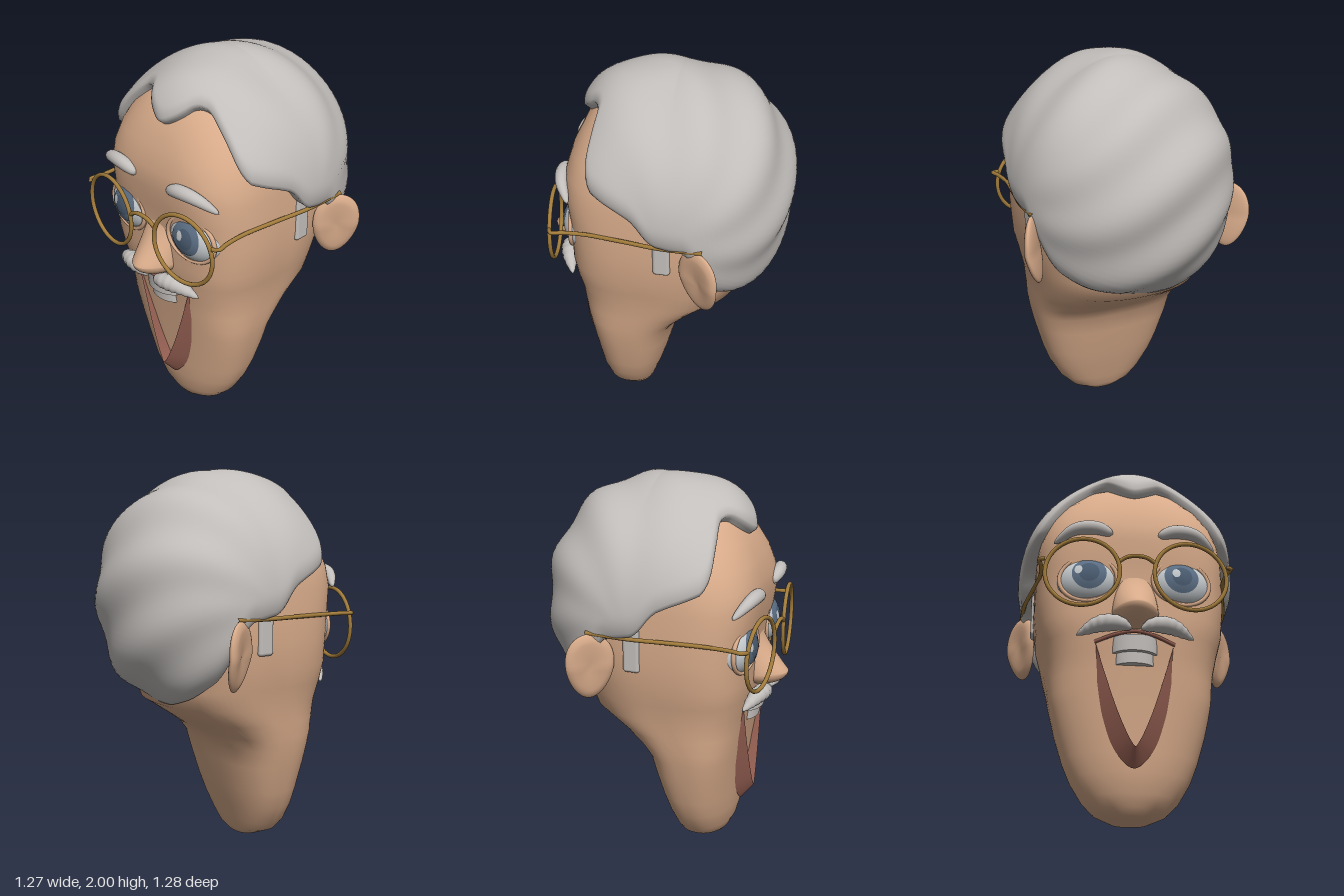
import * as THREE from 'three';
import { mergeVertices } from 'three/addons/utils/BufferGeometryUtils.js';
import { RoundedBoxGeometry } from 'three/addons/geometries/RoundedBoxGeometry.js';

const V = (x, y, z) => new THREE.Vector3(x, y, z);
const mat = (name, color, side = THREE.FrontSide) => {
  const m = new THREE.MeshStandardMaterial({ color, side });
  m.name = name;
  return m;
};
const skin = mat('skin', 0xd8ab8a);
const hairGrey = mat('hairGrey', 0xc2bebb, THREE.DoubleSide);
const lipBrown = mat('lipBrown', 0x955f52, THREE.DoubleSide);
const eyeWhite = mat('eyeWhite', 0xc6cbce);
const irisBlue = mat('irisBlue', 0x5c6f85);
const pupilBlue = mat('pupilBlue', 0x4b5d72);
const gold = mat('gold', 0xa17b3b);

function add(parent, name, geometry, material, pos) {
  const m = new THREE.Mesh(geometry, material);
  m.name = name;
  if (pos) m.position.set(...pos);
  parent.add(m);
  return m;
}

// Smooth surface from fn(u, v), with u running left to right and v upward
function grid(nu, nv, fn) {
  const pos = [], index = [];
  for (let j = 0; j <= nv; j++)
    for (let i = 0; i <= nu; i++) pos.push(...fn(i / nu, j / nv, j));
  for (let j = 0; j < nv; j++)
    for (let i = 0; i < nu; i++) {
      const a = j * (nu + 1) + i, b = a + nu + 1;
      index.push(a, a + 1, b, a + 1, b + 1, b);
    }
  let g = new THREE.BufferGeometry();
  g.setAttribute('position', new THREE.Float32BufferAttribute(pos, 3));
  g.setIndex(index);
  g = mergeVertices(g, 1e-5);
  g.computeVertexNormals();
  return g;
}

// Move every vertex of a geometry by a rule
function reshape(g, rule) {
  const p = g.attributes.position, v = V(0, 0, 0);
  for (let i = 0; i < p.count; i++) {
    rule(v.fromBufferAttribute(p, i));
    p.setXYZ(i, v.x, v.y, v.z);
  }
  g.computeVertexNormals();
  return g;
}

// Tube along points whose radius follows radius(t)
function taperedTube(points, radius, n = 28) {
  const c = new THREE.CatmullRomCurve3(points);
  const frames = c.computeFrenetFrames(n, false);
  return grid(16, n, (u, v, j) => {
    const a = u * Math.PI * 2, p = c.getPointAt(v), r = radius(v);
    p.addScaledVector(frames.normals[j], Math.cos(a) * r);
    p.addScaledVector(frames.binormals[j], Math.sin(a) * r);
    return p.toArray();
  });
}
const wire = (pts, r = 0.011) => new THREE.TubeGeometry(new THREE.CatmullRomCurve3(pts), 40, r, 8);

// Head cross-sections: height, half width, front z, back z, squareness of the front
const HEAD = [
  [0, 0.001, 0.22, 0.219, 2], [0.005, 0.1, 0.31, 0.11, 2], [0.04, 0.18, 0.335, 0.085, 2],
  [0.1, 0.24, 0.365, 0.065, 2], [0.2, 0.298, 0.39, 0.03, 2.05], [0.3, 0.337, 0.4, 0, 2.2],
  [0.45, 0.38, 0.415, -0.04, 2.5], [0.55, 0.402, 0.425, -0.065, 2.7], [0.62, 0.415, 0.433, -0.12, 2.9],
  [0.7, 0.425, 0.443, -0.24, 3.1], [0.8, 0.44, 0.455, -0.39, 3.3], [0.9, 0.46, 0.475, -0.43, 3.5],
  [1, 0.485, 0.485, -0.45, 3.6], [1.15, 0.5, 0.485, -0.5, 3.7], [1.28, 0.5, 0.495, -0.52, 3.7],
  [1.4, 0.498, 0.515, -0.53, 3.5], [1.5, 0.49, 0.505, -0.52, 3.3], [1.6, 0.468, 0.475, -0.49, 3],
  [1.7, 0.42, 0.425, -0.43, 2.7], [1.8, 0.34, 0.35, -0.34, 2.4], [1.88, 0.17, 0.2, -0.2, 2],
  [1.9, 0.001, 0.001, 0, 2],
];
const spow = (s, e) => Math.sign(s) * Math.abs(s) ** e;
const headGeometry = () => grid(80, HEAD.length - 1, (u, v, j) => {
  const [y, w, f, b, front] = HEAD[j], a = u * Math.PI * 2;
  const p = Math.cos(a) > 0 ? front : y < 0.65 ? 2.7 : 2.3;
  return [w * spow(Math.sin(a), 2 / p), y, (f + b) / 2 + (f - b) / 2 * spow(Math.cos(a), 2 / p)];
});

// Hairline: azimuth from the front and elevation, in degrees, softened at the corners
const LINE = [[0, 28], [9, 34], [21, 45], [32, 45], [43, 33], [51, 17], [70, 11], [78, 7], [84, -4],
  [104, -8], [111, -24], [117, -37], [135, -48], [155, -55], [180, -58]];
function corner(deg) {
  let k = 0;
  while (k < LINE.length - 2 && deg > LINE[k + 1][0]) k++;
  const [a, e] = LINE[k], [b, f] = LINE[k + 1];
  return THREE.MathUtils.lerp(e, f, (deg - a) / (b - a));
}
const hairline = deg => (corner(Math.abs(deg - 3)) + corner(deg) + corner(Math.min(180, deg + 3))) / 3;
function hairGeometry() {
  const rows = 44;
  return grid(160, rows, (u, v, j) => {
    const a = u * Math.PI * 2, deg = Math.min(u, 1 - u) * 360;
    const t = Math.max(0, (j - 2) / (rows - 2));
    const e = THREE.MathUtils.lerp(hairline(deg), 90, t) * Math.PI / 180;
    const d = V(Math.cos(e) * Math.sin(a), Math.sin(e), Math.cos(e) * Math.cos(a));
    // squarer towards the front than at the back
    const q = d.z > 0 ? 3 : 2.15;
    const flat = (Math.abs(d.x / 0.59) ** q + Math.abs(d.z / 0.585) ** q) ** (1 / q);
    let r = (flat ** 2.1 + Math.abs(d.y / (d.y > 0 ? 0.605 : 0.69)) ** 2.1) ** (-1 / 2.1);
    // combed waves sweeping around the back
    const back = THREE.MathUtils.smoothstep(-d.z, -0.4, 0.6);
    r += 0.016 * (0.3 + 0.7 * back) * (1 - d.x * d.x) * Math.sin(9 * Math.atan2(d.y, -d.z) + 5 * d.x);
    r *= 1 - 0.04 * (1 - Math.min(1, t / 0.12)) ** 2;
    if (j === 1) r *= 0.965;
    if (j === 0) r *= 0.84;
    const x = d.x * r, z = d.z * r;
    // raised crown running into the forelock
    const ridge = Math.exp(-((x / 0.27) ** 2));
    const lift = ridge * (0.03 * Math.max(0, d.y) + 0.1 * THREE.MathUtils.clamp(z / 0.52, 0, 1));
    return [x, 1.35 + d.y * r + lift, z - 0.05];
  });
}

// Features on one side, s = +1 for the left
function sideFeatures(s) {
  const g = new THREE.Group();
  g.name = s > 0 ? 'leftFeatures' : 'rightFeatures';
  const P = (x, y, z) => V(s * x, y, z);

  // ear: flattened, hollowed, narrowing to the lobe
  const earG = reshape(new THREE.SphereGeometry(1, 32, 24), v => {
    const rim = Math.hypot(v.y, v.z);
    if (v.x > 0) v.x -= 0.9 * Math.max(0, 1 - rim / 0.8);
    v.set(v.x * 0.034 + 0.035 * Math.min(0, v.y), v.y * 0.178, v.z * 0.122 * (1 + 0.18 * v.y));
  });
  if (s < 0) {
    reshape(earG, v => { v.x = -v.x; });
    const ix = earG.index.array;
    for (let i = 0; i < ix.length; i += 3) [ix[i], ix[i + 1]] = [ix[i + 1], ix[i]];
    earG.computeVertexNormals();
  }
  add(g, 'ear', earG, skin, [s * 0.563, 1.115, -0.24]).rotation.y = -0.58 * s;

  add(g, 'sideburn', new RoundedBoxGeometry(0.05, 0.26, 0.088, 3, 0.018), hairGrey, [s * 0.487, 1.22, -0.045]);

  // eye with thin iris, pupil and glint following the eyeball
  const eye = new THREE.Group();
  eye.name = 'eye';
  eye.position.set(s * 0.234, 1.185, 0.408);
  eye.rotation.y = s * 0.13;
  g.add(eye);
  add(eye, 'eyeball', new THREE.SphereGeometry(1, 40, 28), eyeWhite).scale.set(0.165, 0.138, 0.11);
  const patch = (name, cx, cy, rx, ry, material, off) => add(eye, name, grid(32, 5, (u, v) => {
    const a = u * Math.PI * 2, x = cx + rx * (1 - v) * Math.cos(a), y = cy + ry * (1 - v) * Math.sin(a);
    return [x, y, off + 0.11 * Math.sqrt(1 - (x / 0.165) ** 2 - (y / 0.138) ** 2)];
  }), material);
  patch('iris', -s * 0.012, 0.018, 0.088, 0.09, irisBlue, 0.003);
  patch('pupil', -s * 0.012, 0.018, 0.052, 0.055, pupilBlue, 0.005);
  patch('glint', -0.042, 0.032, 0.02, 0.026, eyeWhite, 0.007);
  const lid = add(g, 'eyelid', new THREE.TorusGeometry(0.147, 0.012, 10, 40), skin, [s * 0.237, 1.185, 0.468]);
  lid.scale.set(1, 0.83, 1);
  lid.rotation.y = s * 0.14;

  add(g, 'eyebrow', taperedTube([P(0.115, 1.43, 0.505), P(0.2, 1.46, 0.515), P(0.31, 1.455, 0.5), P(0.415, 1.395, 0.445)],
    t => 0.041 * Math.sqrt(Math.max(0, 1 - (2 * t ** 0.85 - 1) ** 2)) * (1 - 0.3 * t)), hairGrey);
  add(g, 'moustache', taperedTube([P(0.02, 0.885, 0.535), P(0.09, 0.91, 0.54), P(0.18, 0.912, 0.52), P(0.295, 0.865, 0.475)],
    t => 0.044 * Math.sin(Math.PI * t ** 0.85) ** 0.75 * (1 + 0.05 * Math.sin(t * 50))), hairGrey);

  // spectacle rim and arm
  const rim = add(g, 'spectacleRim', new THREE.TorusGeometry(0.187, 0.011, 10, 56), gold, [s * 0.273, 1.18, 0.557]);
  rim.rotation.y = s * 0.12;
  add(g, 'spectacleArm', wire([P(0.455, 1.255, 0.535), P(0.488, 1.26, 0.518), P(0.478, 1.262, 0.46),
    P(0.476, 1.265, 0.34), P(0.51, 1.275, 0.15), P(0.548, 1.285, -0.05), P(0.562, 1.297, -0.26)]), gold);
  return g;
}

export function createModel() {
  const model = new THREE.Group();
  model.name = 'head';
  add(model, 'face', headGeometry(), skin);
  add(model, 'hair', hairGeometry(), hairGrey);
  model.add(sideFeatures(1), sideFeatures(-1));

  // nose: rounded tip flaring at the nostrils, with a soft bridge sinking into the brow
  add(model, 'nose', reshape(new THREE.SphereGeometry(1, 36, 36), v => {
    const up = Math.max(0, v.y);
    v.set(v.x * 0.118 * (1 - 0.15 * up), v.y * (v.y > 0 ? 0.25 : 0.08),
      v.z * 0.16 * (1 - up) ** 1.3 * (1 - 0.25 * v.x * v.x));
  }), skin, [0, 0.995, 0.477]);

  add(model, 'spectacleBridge', wire([V(-0.092, 1.235, 0.577), V(-0.05, 1.262, 0.58), V(0, 1.27, 0.581),
    V(0.05, 1.262, 0.58), V(0.092, 1.235, 0.577)]), gold);

  // upper teeth in two steps, with the upper lip above
  const tooth = (name, r, h, y, depth) =>
    add(model, name, new THREE.CylinderGeometry(r, r * 0.97, h, 32), hairGrey, [0, y, 0.43]).scale.z = depth / r;
  tooth('upperTeeth', 0.12, 0.085, 0.828, 0.08);
  tooth('lowerTeeth', 0.1, 0.07, 0.762, 0.055);
  add(model, 'upperLip', wire([V(-0.2, 0.845, 0.452), V(-0.1, 0.875, 0.485), V(0, 0.885, 0.51),
    V(0.1, 0.875, 0.485), V(0.2, 0.845, 0.452)], 0.01), lipBrown);

  // V-shaped lower lip: sloping band and an inner wall reaching the face
  const mirrorCurve = half => new THREE.CatmullRomCurve3(
    [...half.map(p => V(-p[0], p[1], p[2])), ...half.slice(0, -1).reverse().map(p => V(...p))]);
  const outer = mirrorCurve([[0.202, 0.845, 0.44], [0.18, 0.62, 0.425], [0.142, 0.42, 0.402], [0.08, 0.28, 0.396], [0, 0.21, 0.402]]);
  const inner = mirrorCurve([[0.197, 0.845, 0.455], [0.138, 0.645, 0.458], [0.078, 0.46, 0.464], [0.02, 0.325, 0.469], [0, 0.298, 0.471]]);
  add(model, 'lowerLip', grid(64, 1, (u, v) => (v ? inner : outer).getPoint(u).toArray()), lipBrown);
  add(model, 'lowerLipInside', grid(64, 1, (u, v) => {
    const p = inner.getPoint(u);
    return [p.x, p.y, p.z - 0.08 * v];
  }), lipBrown);
  return model;
}
